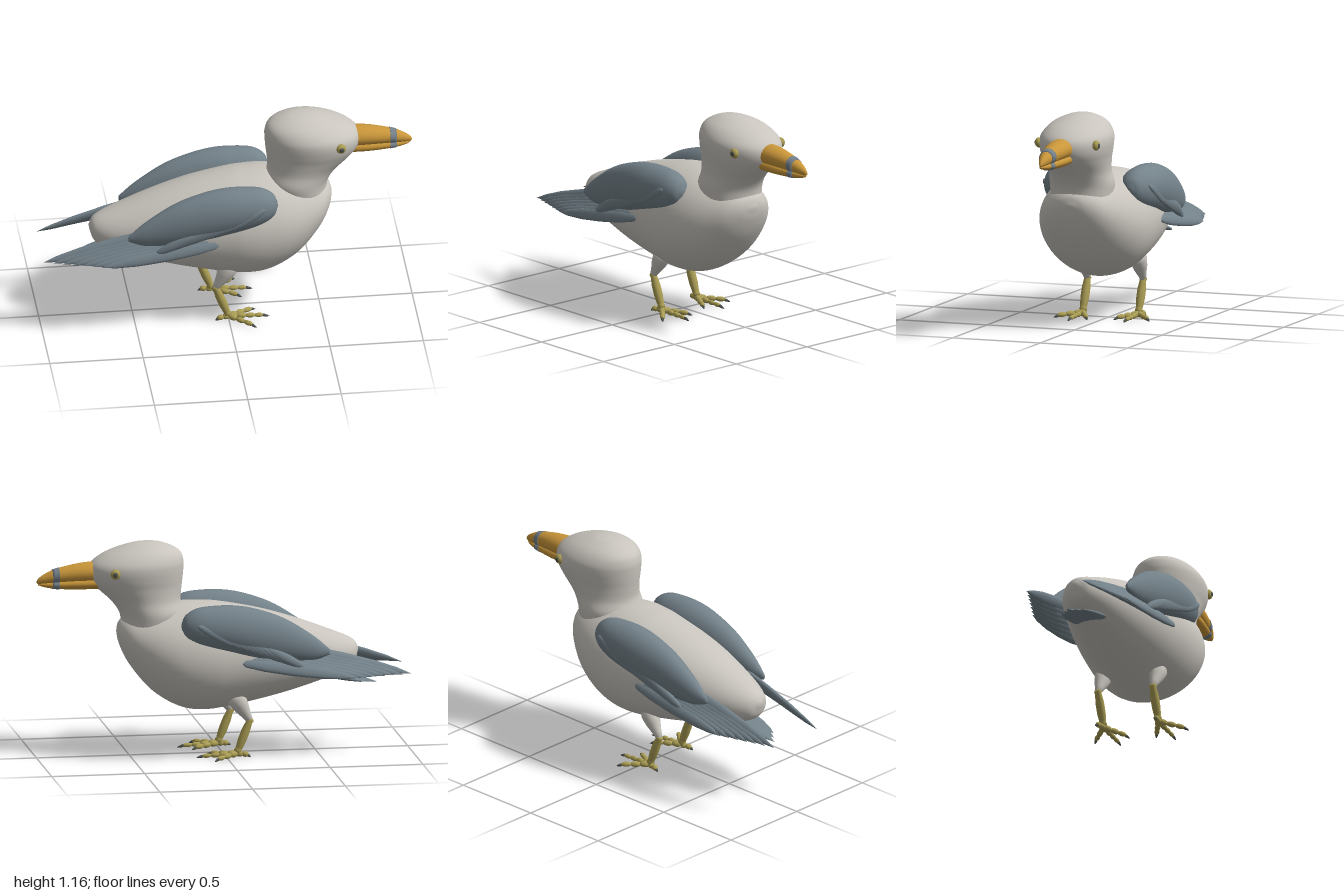
import * as THREE from 'three';

const mat = (name, color) => Object.assign(new THREE.MeshStandardMaterial({ color }), { name });
const V = (x, y, z) => new THREE.Vector3(x, y, z);

// Smooth closed loft. Sections are [t, a, b, halfWidth]: along x, a..b spans y;
// along y, a..b spans x. zc shifts it sideways.
function loft(sections, axis = 'x', zc = 0, steps = 48, sides = 40) {
  const span = new THREE.CatmullRomCurve3(sections.map(s => V(s[0], s[1], s[2])), false, 'catmullrom');
  const wide = new THREE.CatmullRomCurve3(sections.map(s => V(s[3], 0, 0)), false, 'catmullrom');
  const pos = [], index = [];
  for (let i = -1; i <= steps + 1; i++) {
    const u = Math.min(Math.max(i / steps, 0), 1);
    const open = i < 0 || i > steps ? 0 : 1;
    const p = span.getPoint(u), w = Math.max(wide.getPoint(u).x, 0) * open;
    const c = (p.y + p.z) / 2, r = Math.abs(p.y - p.z) / 2 * open;
    for (let j = 0; j < sides; j++) {
      const a = j / sides * Math.PI * 2;
      if (axis === 'x') pos.push(p.x, c + r * Math.cos(a), zc + w * Math.sin(a));
      else pos.push(c + r * Math.cos(a), p.x, zc - w * Math.sin(a));
    }
  }
  for (let i = 0; i < steps + 2; i++) {
    for (let j = 0; j < sides; j++) {
      const k = (j + 1) % sides;
      const a = i * sides + j, d = i * sides + k, b = a + sides, e = d + sides;
      index.push(a, d, b, d, e, b);
    }
  }
  const g = new THREE.BufferGeometry();
  g.setAttribute('position', new THREE.Float32BufferAttribute(pos, 3));
  g.setIndex(index);
  g.computeVertexNormals();
  return g;
}

const lathe = (pts, n = 16) => new THREE.LatheGeometry(pts.map(p => new THREE.Vector2(p[0], p[1])), n);

// Unit-length shapes, stretched between two points
const quill = lathe([[0, 0], [0.6, 0.04], [0.9, 0.2], [1, 0.45], [0.85, 0.7], [0.5, 0.88], [0, 1]]);
const bead = new THREE.SphereGeometry(1, 16, 12).scale(1, 0.5, 1).translate(0, 0.5, 0);
const claw = lathe([[0, 0], [0.9, 0.1], [1, 0.3], [0.6, 0.7], [0, 1]], 10);
const shankShape = lathe([[0, 0], [0.75, 0.01], [1, 0.05], [0.8, 0.1], [0.85, 0.15], [1.05, 0.35],
  [1.05, 0.65], [0.8, 0.87], [0.95, 0.94], [0.7, 0.99], [0, 1]]);
const thighShape = lathe([[0, 0], [0.35, 0.03], [0.5, 0.2], [0.85, 0.5], [1, 0.75], [0.8, 0.93], [0, 1]], 24);

function createModel() {
  const bird = new THREE.Group();
  bird.name = 'bird';
  const plumage = mat('palePlumage', 0xc9c5be);
  const slate = mat('slateFeathers', 0x74828a);
  const gold = mat('goldenBeak', 0xc9963a);
  const olive = mat('oliveLegs', 0xaa9d54);
  const band = mat('beakBand', 0x75818a);
  const dark = mat('darkHorn', 0x50564f);

  const add = (parent, name, geo, material) => {
    const m = new THREE.Mesh(geo, material);
    m.name = name;
    parent.add(m);
    return m;
  };
  const group = name => {
    const g = new THREE.Group();
    g.name = name;
    bird.add(g);
    return g;
  };
  // Stretch a unit shape from p to q, its thin side facing the normal
  const stretch = (parent, name, geo, material, p, q, width, thick, normal = V(0, 0, 1)) => {
    const m = add(parent, name, geo, material);
    const y = q.clone().sub(p), len = y.length();
    y.normalize();
    const x = y.clone().cross(normal).normalize(), z = x.clone().cross(y);
    m.quaternion.setFromRotationMatrix(new THREE.Matrix4().makeBasis(x, y, z));
    m.position.copy(p);
    m.scale.set(width, len, thick);
    return m;
  };

  // Body, neck and head
  add(bird, 'body', loft([
    [-0.73, 0.56, 0.53, 0.015], [-0.7, 0.6, 0.46, 0.075], [-0.6, 0.645, 0.41, 0.135],
    [-0.4, 0.72, 0.345, 0.2], [-0.2, 0.78, 0.295, 0.25], [0, 0.82, 0.257, 0.285],
    [0.1, 0.83, 0.247, 0.295], [0.2, 0.832, 0.257, 0.292], [0.3, 0.82, 0.3, 0.275],
    [0.4, 0.8, 0.375, 0.235], [0.5, 0.77, 0.5, 0.165], [0.55, 0.735, 0.6, 0.09],
    [0.567, 0.69, 0.67, 0.02]], 'x', 0, 72, 56), plumage);
  add(bird, 'headAndNeck', loft([
    [0.7, 0.25, 0.54, 0.165], [0.78, 0.212, 0.552, 0.174], [0.85, 0.225, 0.6, 0.165],
    [0.92, 0.22, 0.675, 0.173], [0.97, 0.214, 0.712, 0.184], [1.02, 0.21, 0.72, 0.19],
    [1.06, 0.21, 0.7, 0.184], [1.1, 0.223, 0.643, 0.158], [1.13, 0.26, 0.57, 0.12],
    [1.155, 0.325, 0.485, 0.06], [1.163, 0.39, 0.42, 0.01]], 'y', 0, 60, 48), plumage);

  // Beak: two overlapping mandibles with a thin band round each
  const beak = group('beak');
  add(beak, 'upperMandible', loft([
    [0.65, 1.06, 0.95, 0.068], [0.72, 1.06, 0.95, 0.067], [0.8, 1.05, 0.95, 0.058],
    [0.9, 1.027, 0.949, 0.04], [0.96, 1.0, 0.948, 0.023], [0.99, 0.978, 0.95, 0.01],
    [1, 0.962, 0.955, 0.003]], 'x', 0, 36, 28), gold);
  add(beak, 'lowerMandible', loft([
    [0.64, 0.99, 0.915, 0.06], [0.72, 0.985, 0.914, 0.06], [0.8, 0.98, 0.915, 0.053],
    [0.9, 0.968, 0.921, 0.036], [0.96, 0.958, 0.932, 0.02], [0.99, 0.95, 0.942, 0.004]],
    'x', 0, 36, 28), gold);
  add(beak, 'upperBand', loft([[0.88, 1.035, 0.949, 0.047], [0.915, 1.025, 0.949, 0.039]], 'x', 0, 4, 28), band);
  add(beak, 'lowerBand', loft([[0.88, 0.97, 0.917, 0.042], [0.915, 0.966, 0.921, 0.035]], 'x', 0, 4, 28), band);

  // Tail fan
  const tail = group('tail');
  for (let i = -2; i <= 2; i++) {
    const k = Math.abs(i);
    stretch(tail, 'tailFeather', quill, slate, V(-0.42, 0.45, 0.03 * i),
      V(-0.835 + 0.03 * k, 0.36 + 0.006 * k, 0.028 * i), 0.04, 0.016, V(0, 1, 0));
  }

  for (const s of [1, -1]) {
    const side = s > 0 ? 'left' : 'right';

    // Eye
    const eye = add(bird, side + 'Eye', new THREE.SphereGeometry(1, 20, 14), olive);
    eye.position.set(0.6, 1.02, 0.163 * s);
    eye.scale.set(0.027, 0.027, 0.02);
    const pupil = add(bird, side + 'Pupil', new THREE.SphereGeometry(1, 16, 12), dark);
    pupil.position.set(0.602, 1.02, 0.171 * s);
    pupil.scale.set(0.017, 0.017, 0.015);

    // Folded wing
    const wing = group(side + 'Wing');
    add(wing, 'wingShoulder', loft([
      [-0.545, 0.59, 0.56, 0.008], [-0.45, 0.67, 0.53, 0.043], [-0.3, 0.765, 0.53, 0.075],
      [-0.15, 0.82, 0.55, 0.096], [-0.03, 0.842, 0.575, 0.105], [0.08, 0.843, 0.6, 0.101],
      [0.17, 0.832, 0.63, 0.085], [0.23, 0.797, 0.67, 0.055], [0.253, 0.75, 0.72, 0.015]],
      'x', 0.217 * s, 48, 36), slate);
    // Small coverts stepping down the outer face
    for (let i = 0; i < 8; i++) {
      const x = 0.18 - 0.052 * i, y = 0.755 - 0.019 * i;
      stretch(wing, 'covert', bead, slate, V(x, y, (0.302 - 0.001 * i) * s),
        V(x - 0.22, y - 0.12, (0.3 - 0.005 * i) * s), 0.026, 0.017, V(0, 0.2, s));
    }
    // Long flight feathers, longest innermost
    for (let i = 0; i < 7; i++) {
      const f = i / 6;
      stretch(wing, 'flightFeather', quill, slate,
        V(-0.3 + 0.24 * f, 0.61 - 0.07 * f, (0.2 + 0.07 * f) * s),
        V(-0.995 + 0.3 * f, 0.43 + 0.008 * f, (0.163 + 0.105 * f) * s),
        0.036, 0.018, V(0, 0.5, s));
    }

    // Leg: feathered thigh, jointed shank, four beaded toes
    const leg = group(side + 'Leg');
    const x0 = s > 0 ? 0 : -0.055, z = 0.148 * s;
    stretch(leg, 'thigh', thighShape, plumage, V(x0 - 0.075, 0.195, z), V(x0 + 0.025, 0.36, z), 0.05, 0.046);
    stretch(leg, 'shank', shankShape, olive, V(x0 - 0.002, 0.03, z), V(x0 - 0.075, 0.215, z), 0.022, 0.022);
    const toes = [[0, 0.215, 4], [0.7, 0.175, 3], [-0.5, 0.17, 3], [Math.PI - 0.2, 0.07, 2]];
    for (const [angle, length, joints] of toes) {
      const at = (d, y) => V(x0 + Math.cos(angle) * d, y, z + s * Math.sin(angle) * d);
      const step = length * 0.86 / joints;
      for (let j = 0; j < joints; j++) {
        const r = 0.017 - 0.0018 * j;
        stretch(leg, 'toeJoint', bead, olive, at(step * j - 0.004, 0.025 - 0.002 * j),
          at(step * (j + 1) + 0.004, 0.023 - 0.002 * j), r, r, V(0, 1, 0));
      }
      stretch(leg, 'claw', claw, dark, at(length * 0.83, 0.018), at(length + 0.005, 0.007), 0.008, 0.008, V(0, 1, 0));
    }
  }
  return bird;
}

export { createModel };
